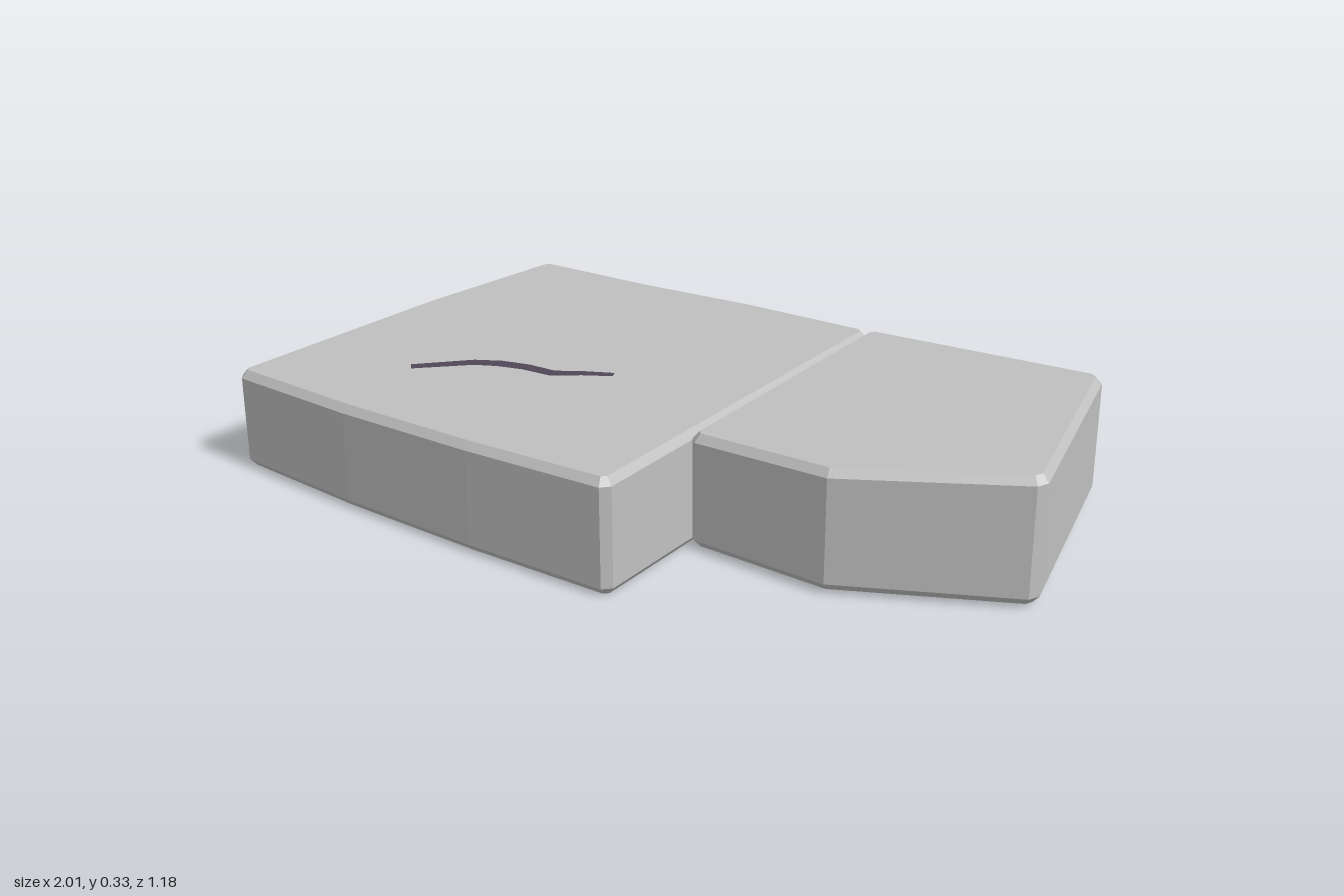
import * as THREE from 'three';

const BEVEL = 0.016;
const CHAMFER = 0.02;

// Cut the sharp corners of an outline of [x, z] points.
function chamferCorners(points) {
  const out = [];
  points.forEach(([x, z], i) => {
    const p = new THREE.Vector2(x, z);
    const a = new THREE.Vector2(...points.at(i - 1)).sub(p).normalize();
    const b = new THREE.Vector2(...points[(i + 1) % points.length]).sub(p).normalize();
    if (a.dot(b) < -0.77) out.push(p);
    else out.push(p.clone().addScaledVector(a, CHAMFER), p.clone().addScaledVector(b, CHAMFER));
  });
  return out;
}

// Move every edge of the outline inward by the same distance.
function inset(points, distance) {
  const normal = (p, q) => new THREE.Vector2(p.y - q.y, q.x - p.x).normalize();
  return points.map((p, i) => {
    const n1 = normal(points.at(i - 1), p);
    const n2 = normal(p, points[(i + 1) % points.length]);
    return p.clone().addScaledVector(n1.clone().add(n2), -distance / (1 + n1.dot(n2)));
  });
}

// Bevelled slab: four rings from bottom to top, closed by a fan at each end.
function slabGeometry(outline, bottom, top) {
  const outer = chamferCorners(outline);
  const inner = inset(outer, BEVEL);
  const n = outer.length;
  const rings = [
    [inner, () => bottom],
    [outer, () => bottom + 0.02],
    [outer, (x) => top(x) - 0.02],
    [inner, top],
  ];
  const position = [];
  const index = [];
  for (const [ring, height] of rings) {
    for (const p of ring) position.push(p.x, height(p.x), p.y);
  }
  const centre = inner.reduce((c, p) => c.addScaledVector(p, 1 / n), new THREE.Vector2());
  position.push(centre.x, bottom, centre.y, centre.x, top(centre.x), centre.y);
  for (let i = 0; i < n; i++) {
    const j = (i + 1) % n;
    for (let r = 0; r < 3; r++) {
      const a = r * n + i, b = r * n + j;
      index.push(a, b, b + n, a, b + n, a + n);
    }
    index.push(4 * n, j, i, 4 * n + 1, 3 * n + i, 3 * n + j);
  }
  const geometry = new THREE.BufferGeometry();
  geometry.setAttribute('position', new THREE.Float32BufferAttribute(position, 3));
  geometry.setIndex(index);
  geometry.computeVertexNormals();
  return geometry;
}

// Flat ribbon lying just above a surface; each point is [x, z, width].
function crackGeometry(path, height) {
  const position = [];
  const index = [];
  path.forEach(([x, z, width], i) => {
    const [x0, z0] = path[Math.max(i - 1, 0)];
    const [x1, z1] = path[Math.min(i + 1, path.length - 1)];
    const side = new THREE.Vector2(z0 - z1, x1 - x0).setLength(width / 2);
    for (const s of [1, -1]) {
      const px = x + s * side.x;
      position.push(px, height(px) + 0.004, z + s * side.y);
    }
    if (i) {
      const k = 2 * i - 2;
      index.push(k, k + 1, k + 2, k + 1, k + 3, k + 2);
    }
  });
  const geometry = new THREE.BufferGeometry();
  geometry.setAttribute('position', new THREE.Float32BufferAttribute(position, 3));
  // Wind the faces so that they look upward.
  geometry.setIndex(index.reverse());
  geometry.computeVertexNormals();
  return geometry;
}

export function createModel() {
  const stone = new THREE.MeshStandardMaterial({ name: 'light grey stone', color: 0xc0c0c0, flatShading: true });
  const dark = new THREE.MeshStandardMaterial({ name: 'dark crack', color: 0x504858, side: THREE.DoubleSide });
  const group = new THREE.Group();
  group.name = 'stoneSlabs';

  const add = (name, geometry, material) => {
    const mesh = new THREE.Mesh(geometry, material);
    mesh.name = name;
    group.add(mesh);
  };

  // Large slab, rising gently to the right of the front view
  const largeTop = (x) => 0.267 + 0.026 * (x + 1);
  add('largeSlab', slabGeometry([
    [-0.9, -0.538], [-0.96, -0.1], [-1.002, 0.567], [-0.6, 0.588], [-0.2, 0.588],
    [0.207, 0.572], [0.189, -0.566], [-0.2, -0.565], [-0.53, -0.543],
  ], 0.002, largeTop), stone);

  // Small angled slab beside it
  add('smallSlab', slabGeometry([
    [0.186, -0.566], [0.201, 0.262], [0.585, 0.262],
    [1.01, 0.04], [0.842, -0.594],
  ], 0.008, (x) => 0.301 + 0.035 * (x - 0.2)), stone);

  // Crack across the large slab
  add('crack', crackGeometry([
    [-0.635, 0.31, 0.03], [-0.52, 0.2, 0.036], [-0.46, 0.17, 0.038], [-0.39, 0.152, 0.036],
    [-0.305, 0.147, 0.034], [-0.24, 0.105, 0.028], [-0.17, 0.07, 0.022],
  ], largeTop), dark);

  return group;
}
